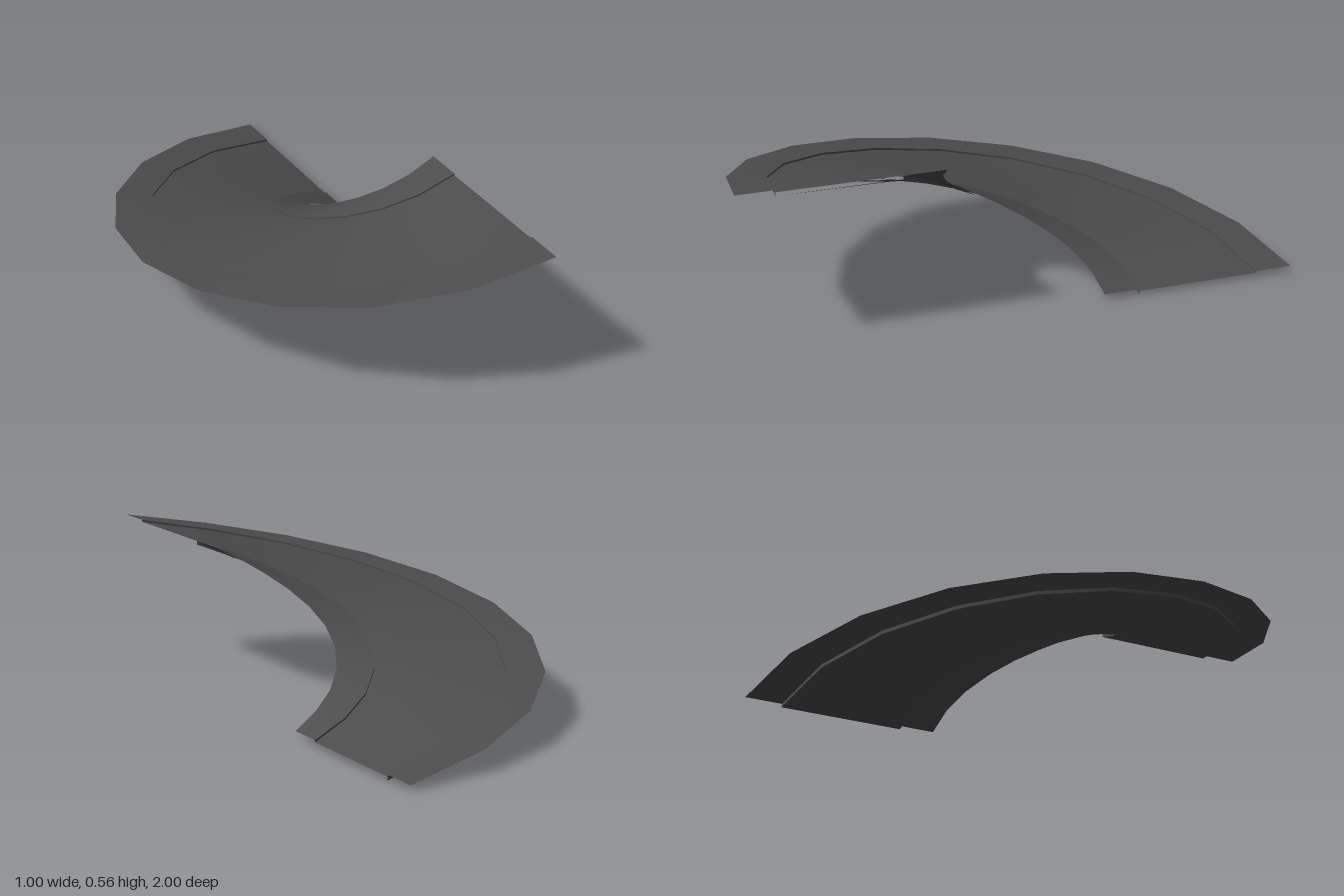
import * as THREE from 'three';

const STEPS = 10;        // facets around the half turn
const RISE = 0.54;       // climb over the half turn
const AXIS_X = 0.5;      // the ramp winds around this vertical axis

const INNER = 0.285, INNER_LIP = 0.415, OUTER_LIP = 0.865, OUTER = 1;

// Sweeps one profile edge, from [radius, height] a to b, along the helix.
function sweepEdge([ra, ha], [rb, hb]) {
  const positions = [], index = [];
  for (let i = 0; i <= STEPS; i++) {
    const f = i / STEPS, t = f * Math.PI;
    for (const [r, h] of [[ra, ha], [rb, hb]]) {
      positions.push(AXIS_X - r * Math.sin(t), h + RISE * f, -r * Math.cos(t));
    }
    if (i < STEPS) {
      const a = i * 2;
      index.push(a, a + 1, a + 2, a + 1, a + 3, a + 2);
    }
  }
  const geometry = new THREE.BufferGeometry();
  geometry.setAttribute('position', new THREE.Float32BufferAttribute(positions, 3));
  geometry.setIndex(index);
  geometry.computeVertexNormals();
  return geometry;
}

export function createModel() {
  const model = new THREE.Group();
  model.name = 'spiralRamp';
  const material = new THREE.MeshStandardMaterial({ color: 0x4d4d4d });

  function addSurface(name, profile) {
    const group = new THREE.Group();
    group.name = name;
    for (let i = 0; i + 1 < profile.length; i++) {
      const mesh = new THREE.Mesh(sweepEdge(profile[i], profile[i + 1]), material);
      mesh.name = name + 'Band' + (i + 1);
      group.add(mesh);
    }
    model.add(group);
  }

  // Upper face: recessed roadway between two raised borders
  addSurface('rampTop', [
    [INNER, 0.02], [INNER_LIP, 0.02], [INNER_LIP, 0.013],
    [OUTER_LIP, 0.013], [OUTER_LIP, 0.02], [OUTER, 0.02],
  ]);

  // Lower face: the roadway hangs below the borders
  addSurface('rampUnderside', [
    [OUTER, 0.013], [OUTER_LIP, 0.013], [OUTER_LIP, 0],
    [INNER_LIP, 0], [INNER_LIP, 0.013], [INNER, 0.013],
  ]);

  return model;
}
